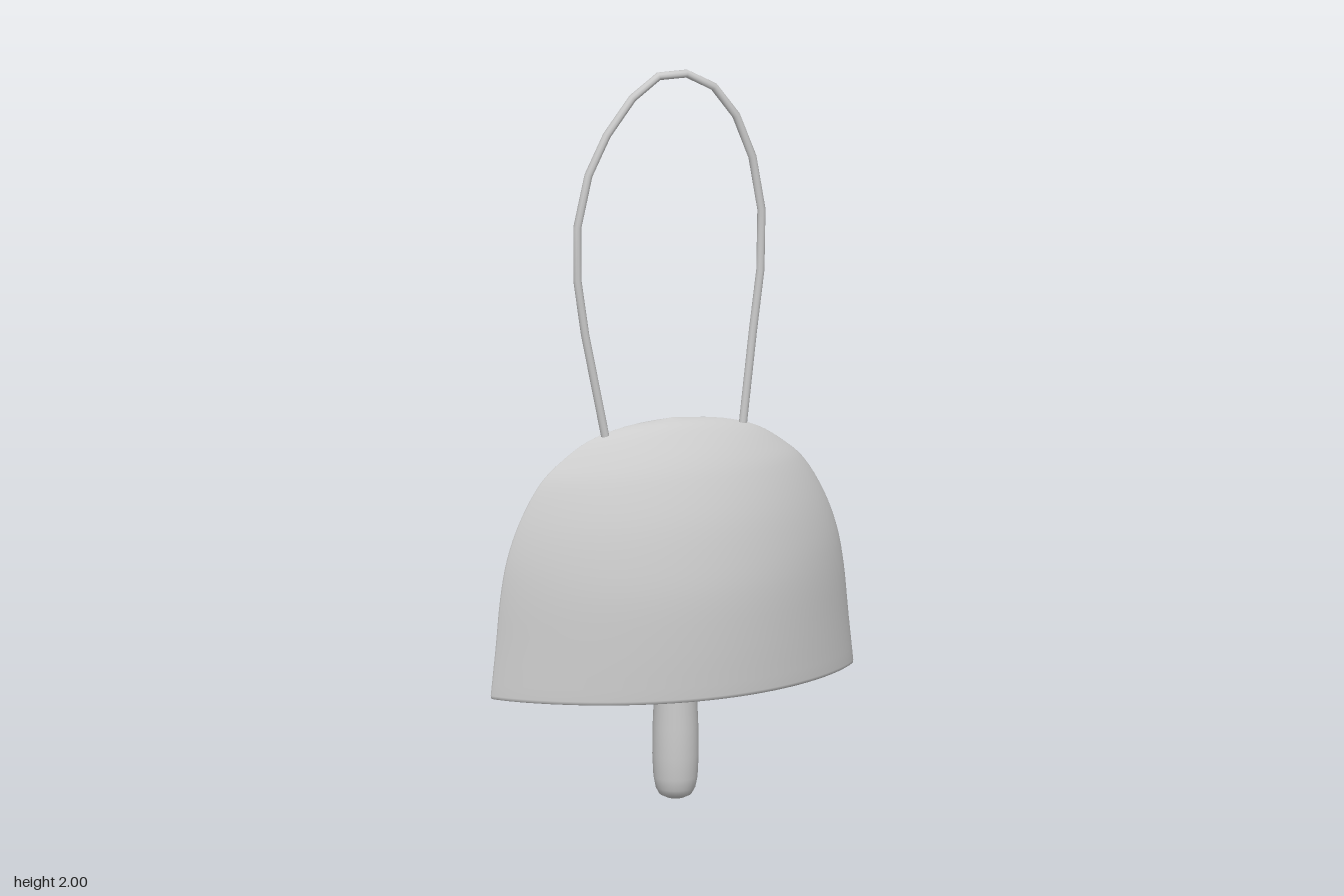
import * as THREE from 'three';

const material = new THREE.MeshStandardMaterial({ color: 0xcccccc, side: THREE.DoubleSide });

// Shell stations, bottom to top: half width, height, half depth
const STATIONS = [
  [0.522, 0.33, 0.237], [0.508, 0.46, 0.234], [0.494, 0.6, 0.224], [0.475, 0.7, 0.205],
  [0.438, 0.8, 0.177], [0.378, 0.9, 0.134], [0.323, 0.95, 0.104], [0.245, 1.0, 0.064],
  [0.145, 1.03, 0.034], [0, 1.045, 0],
].map(p => new THREE.Vector3(...p));

// Skins a stack of lens-shaped rings given as (half width, height, half depth)
function lensLoft(rings, around = 72) {
  const positions = [], index = [];
  rings.forEach(({ x: a, y, z: b }, j) => {
    for (let i = 0; i < around; i++) {
      const t = (i / around) * Math.PI * 2, c = Math.cos(t);
      positions.push(a * Math.sin(t), y, b * Math.sign(c) * Math.abs(c) ** 1.68);
      if (j === 0) continue;
      const n = (i + 1) % around, lo = (j - 1) * around, hi = j * around;
      index.push(lo + i, lo + n, hi + n, lo + i, hi + n, hi + i);
    }
  });
  const geometry = new THREE.BufferGeometry();
  geometry.setAttribute('position', new THREE.Float32BufferAttribute(positions, 3));
  geometry.setIndex(index);
  geometry.computeVertexNormals();
  return geometry;
}

function addMesh(parent, name, geometry) {
  const mesh = new THREE.Mesh(geometry, material);
  mesh.name = name;
  parent.add(mesh);
  return mesh;
}

function createShell() {
  const shell = new THREE.Group();
  shell.name = 'bellShell';
  const rows = new THREE.CatmullRomCurve3(STATIONS).getPoints(36);
  rows[rows.length - 1].set(0.0005, 1.045, 0.0002);

  // Outer wall with a softened lower edge
  const edge = [new THREE.Vector3(0.515, 0.32, 0.231), new THREE.Vector3(0.521, 0.323, 0.236)];
  addMesh(shell, 'outerWall', lensLoft([...edge, ...rows]));

  // Inner wall, running top to bottom so that it faces inwards
  const inner = rows.map(r => new THREE.Vector3(r.x * 0.9, 0.32 + (r.y - 0.33) * 0.94, r.z * 0.86));
  addMesh(shell, 'innerWall', lensLoft([...inner].reverse()));

  // Flat rim between the walls
  addMesh(shell, 'rim', lensLoft([inner[0], edge[0]]));
  return shell;
}

// Rod with a rounded lower end, hanging inside the shell
function createClapper() {
  const profile = [
    [0, 0], [0.025, 0.003], [0.043, 0.012], [0.053, 0.03], [0.059, 0.06], [0.062, 0.12],
    [0.061, 0.2], [0.056, 0.32], [0.05, 0.6], [0.045, 0.93], [0, 0.93],
  ].map(p => new THREE.Vector2(...p));
  return new THREE.LatheGeometry(profile, 28);
}

// Faceted wire loop rising from the crown
function createHandle() {
  const path = [
    [-0.197, 1.015], [-0.255, 1.3], [-0.277, 1.45], [-0.277, 1.595], [-0.245, 1.735], [-0.192, 1.84],
    [-0.118, 1.935], [-0.043, 1.988], [0.037, 1.988], [0.116, 1.945], [0.18, 1.86], [0.227, 1.742],
    [0.253, 1.595], [0.25, 1.43], [0.228, 1.26], [0.2, 1.015],
  ].map(([x, y]) => new THREE.Vector3(x, y, 0.011));
  const curve = new THREE.CatmullRomCurve3(path);
  // Place one ring on every path point instead of spacing them evenly
  curve.getPointAt = curve.getPoint;
  curve.getTangentAt = curve.getTangent;
  return new THREE.TubeGeometry(curve, path.length - 1, 0.011, 10);
}

export function createModel() {
  const model = new THREE.Group();
  model.name = 'bell';
  model.add(createShell());
  addMesh(model, 'clapper', createClapper()).position.x = 0.01;
  addMesh(model, 'handleLoop', createHandle());
  return model;
}
